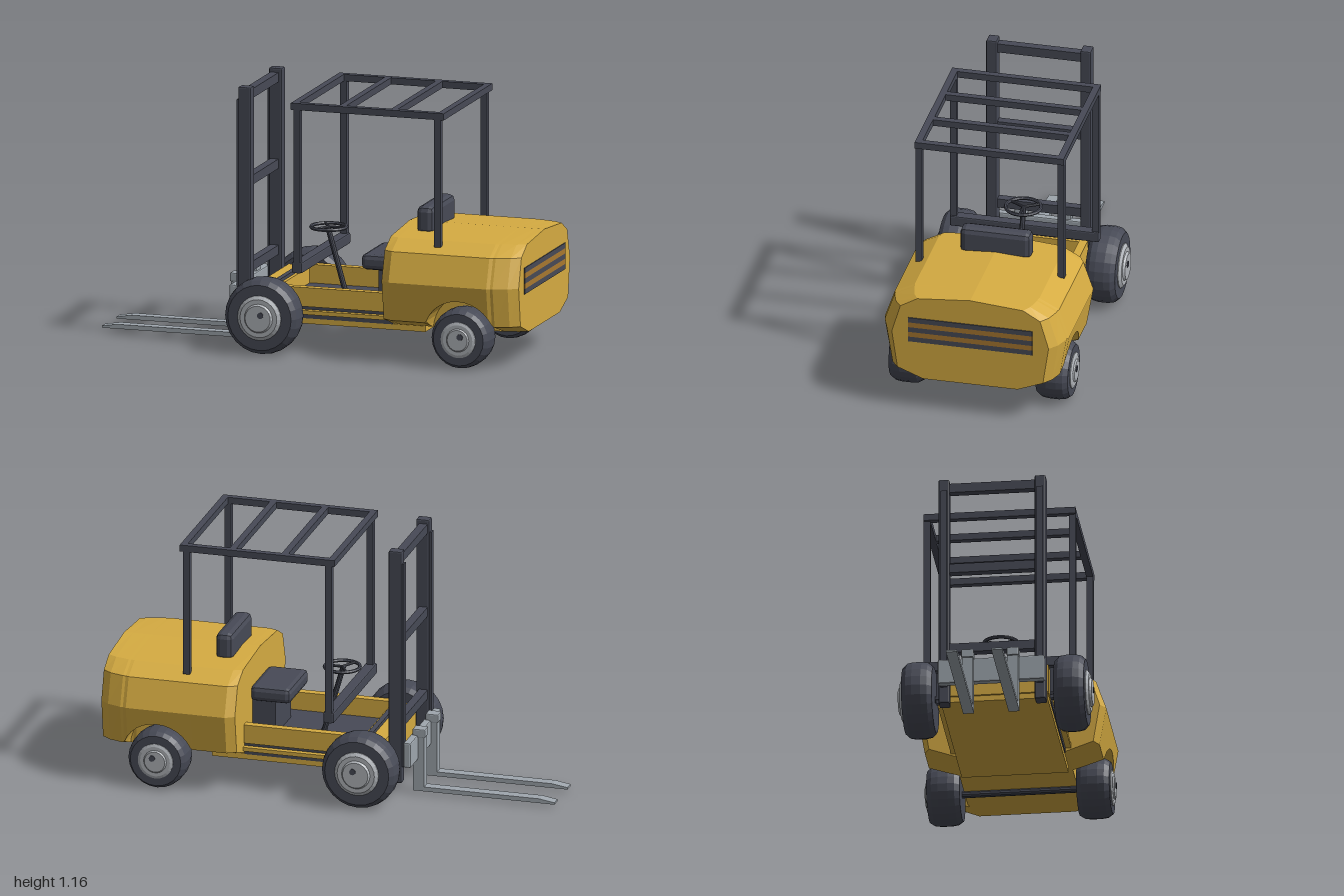
import * as THREE from 'three';
import { RoundedBoxGeometry } from 'three/addons/geometries/RoundedBoxGeometry.js';

const mat = (name, color) => Object.assign(new THREE.MeshStandardMaterial({ color }), { name });

export function createModel() {
  const yellow = mat('yellow paint', 0xd6ac42);
  const dark = mat('dark grey', 0x474a56);
  const steel = mat('fork steel', 0x9fa7ae);
  const hubGrey = mat('hub grey', 0xb0b4b9);
  const orange = mat('grille orange', 0xa87830);
  const root = new THREE.Group();
  root.name = 'forklift';

  // Faceted mesh: unshared vertices give every face its own normal
  const add = (name, geo, material, parent = root) => {
    const g = geo.index ? geo.toNonIndexed() : geo;
    g.computeVertexNormals();
    const m = new THREE.Mesh(g, material);
    m.name = name;
    parent.add(m);
    return m;
  };
  const box = (name, material, x0, x1, y0, y1, z0, z1, bevel = 0) => {
    const s = [x1 - x0, y1 - y0, z1 - z0];
    const g = bevel ? new RoundedBoxGeometry(...s, 1, bevel) : new THREE.BoxGeometry(...s);
    g.translate((x0 + x1) / 2, (y0 + y1) / 2, (z0 + z1) / 2);
    return add(name, g, material);
  };
  const rod = (name, a, b, r, material = dark) => {
    const d = new THREE.Vector3().subVectors(b, a);
    const m = add(name, new THREE.CylinderGeometry(r, r, d.length(), 10), material);
    m.position.addVectors(a, b).multiplyScalar(0.5);
    m.quaternion.setFromUnitVectors(new THREE.Vector3(0, 1, 0), d.normalize());
    return m;
  };
  const V = (x, y, z) => new THREE.Vector3(x, y, z);

  // Rear body: lofted cross-sections, with a wheel arch cut into the lower sides
  const floorY = 0.155;
  const section = (x, zs, a) => {
    const sideZ = a > 0.2 ? 0.415 - (0.375 - a) * 0.171 : 0.385;
    const lowZ = a > 0.2 ? sideZ : 0.25 + (a - floorY) * 3;
    const half = [[0, 0.57], [0.28, 0.55], [0.37, 0.505], [0.415, 0.375], [sideZ, Math.max(0.2, a)],
      [lowZ, a], [0.25, a], [0.25, floorY], [0, floorY]];
    const back = half.slice(1, -1).reverse().map(([z, y]) => [-z, y]);
    return [...half, ...back].map(([z, y]) => [x, y, z * zs]);
  };
  const stations = [section(0.38, 0.94, floorY), section(0.42, 1, floorY)];
  for (let i = 0; i <= 16; i++) {
    const t = Math.PI * (1 - i / 16);
    const x = 0.735 + 0.163 * Math.cos(t);
    stations.push(section(x, x > 0.88 ? 0.985 : 1, Math.max(floorY, 0.145 + 0.163 * Math.sin(t))));
  }
  stations.push(section(0.96, 0.93, floorY), section(1.0, 0.85, floorY));
  const pos = [];
  const n = stations[0].length;
  for (let k = 0; k < n; k++) {
    const j = (k + 1) % n;
    for (let i = 0; i < stations.length - 1; i++) {
      const p = stations[i], q = stations[i + 1];
      pos.push(...p[k], ...p[j], ...q[k], ...p[j], ...q[j], ...q[k]);
    }
    const s = stations[0], e = stations[stations.length - 1];
    pos.push(0.38, 0.37, 0, ...s[j], ...s[k], 1, 0.37, 0, ...e[k], ...e[j]);
  }
  const bodyGeo = new THREE.BufferGeometry();
  bodyGeo.setAttribute('position', new THREE.Float32BufferAttribute(pos, 3));
  add('rearBody', bodyGeo, yellow);

  // Rear grille stripes
  for (let i = 0; i < 5; i++) {
    const y = 0.335 + i * 0.0235;
    box('grilleStripe', i % 2 ? orange : dark, 0.999, 1.004, y, y + 0.0235, -0.28, 0.28);
  }

  // Chassis
  box('bottomPan', yellow, -0.25, 0.53, 0.125, 0.152, -0.235, 0.235);
  box('floor', dark, -0.155, 0.38, 0.15, 0.207, -0.24, 0.24);
  box('frontPanel', yellow, -0.26, -0.155, 0.15, 0.28, -0.24, 0.24);
  box('dashPlate', dark, -0.193, -0.17, 0.15, 0.295, -0.262, 0.262);
  for (const s of [-1, 1]) {
    const z = (a, b) => (s > 0 ? [a, b] : [-b, -a]);
    box('sideRail', yellow, -0.155, 0.39, 0.205, 0.29, ...z(0.215, 0.252));
    box('sideStep', yellow, -0.1, 0.39, 0.172, 0.19, ...z(0.235, 0.265));
  }

  // Seat
  box('seatBase', dark, 0.275, 0.385, 0.2, 0.365, -0.12, 0.12);
  box('seatCushion', dark, 0.2, 0.385, 0.362, 0.432, -0.147, 0.147, 0.022);
  box('backrest', dark, 0.46, 0.54, 0.54, 0.667, -0.16, 0.16, 0.025);

  // Steering
  rod('steeringColumn', V(0.09, 0.2, 0), V(0.0, 0.515, 0), 0.012);
  const ring = new THREE.TorusGeometry(0.078, 0.008, 6, 24);
  ring.rotateX(Math.PI / 2).translate(0.005, 0.513, 0);
  add('steeringWheel', ring, dark);
  for (let i = 0; i < 3; i++) {
    const a = (i / 3) * Math.PI * 2;
    rod('steeringSpoke', V(0.005, 0.513, 0), V(0.005 + 0.078 * Math.cos(a), 0.513, 0.078 * Math.sin(a)), 0.006);
  }

  // Overhead guard
  for (const s of [-1, 1]) {
    const z = [s * 0.32 - 0.015, s * 0.32 + 0.015];
    box('guardRail', dark, -0.058, 0.648, 1.1, 1.13, ...z);
    box('frontPost', dark, -0.045, -0.015, 0.37, 1.11, ...z);
    box('rearPost', dark, 0.603, 0.633, 0.53, 1.11, ...z);
  }
  for (const x of [-0.043, 0.175, 0.412, 0.633]) box('guardCrossbar', dark, x - 0.015, x + 0.015, 1.1, 1.13, -0.32, 0.32);
  box('postBrace', dark, -0.055, -0.006, 0.37, 0.418, -0.335, 0.335, 0.006);

  // Mast
  for (const s of [-1, 1]) {
    box('mastUpright', dark, -0.335, -0.275, 0.085, 1.163, s * 0.212 - 0.024, s * 0.212 + 0.024, 0.006);
    box('mastRail', dark, -0.344, -0.33, 0.16, 1.105, s * 0.212 - 0.014, s * 0.212 + 0.014);
  }
  for (const y of [0.33, 0.715, 1.102]) box('mastCrossbar', dark, -0.328, -0.29, y, y + 0.042, -0.2, 0.2);

  // Carriage and forks
  box('carriage', steel, -0.376, -0.343, 0.16, 0.275, -0.235, 0.235, 0.006);
  const fork = new THREE.Shape();
  [[-1, 0.017], [-0.355, 0.017], [-0.355, 0.302], [-0.405, 0.302], [-0.405, 0.037], [-0.93, 0.037], [-1, 0.026]]
    .forEach(([x, y], i) => (i ? fork.lineTo(x, y) : fork.moveTo(x, y)));
  for (const s of [-1, 1]) {
    const g = new THREE.ExtrudeGeometry(fork, { depth: 0.048, bevelEnabled: false });
    g.translate(0, 0, s * 0.1 - 0.024);
    add('fork', g, steel);
    box('forkHook', steel, -0.41, -0.352, 0.265, 0.304, s * 0.1 - 0.027, s * 0.1 + 0.027, 0.005);
  }

  // Wheels: lathed tyre and stepped hub, turned to face outwards
  const lathe = (pts) => new THREE.LatheGeometry(pts.map(([r, h]) => new THREE.Vector2(r, h)), 24).rotateX(Math.PI / 2);
  const wheel = (name, x, r, z, w, hubR, hubOut, s) => {
    const g = new THREE.Group();
    g.name = name;
    add('tyre', lathe([[0.001, -w], [r * 0.86, -w], [r * 0.97, -w * 0.7], [r, -w * 0.3], [r, w * 0.3],
      [r * 0.97, w * 0.7], [r * 0.86, w], [hubR, w], [hubR * 0.95, w * 0.8]]), dark, g);
    add('hub', lathe([[hubR, w * 0.7], [hubR, w + 0.004], [hubR * 0.85, w + hubOut * 0.6], [hubR * 0.65, w + hubOut * 0.6],
      [hubR * 0.58, w + hubOut], [0, w + hubOut]]), hubGrey, g);
    const cap = new THREE.CylinderGeometry(0.014, 0.014, 0.008, 12).rotateX(Math.PI / 2);
    cap.translate(s * 0.012, 0.016, w + hubOut);
    add('valve', cap, dark, g);
    g.position.set(x, r + 0.003, s * z);
    if (s < 0) g.rotation.y = Math.PI;
    root.add(g);
  };
  for (const s of [-1, 1]) {
    wheel('frontWheel', -0.18, 0.17, 0.335, 0.067, 0.1, 0.025, s);
    wheel('rearWheel', 0.738, 0.134, 0.33, 0.073, 0.08, 0.015, s);
  }
  rod('frontAxle', V(-0.18, 0.173, -0.3), V(-0.18, 0.173, 0.3), 0.015);
  rod('rearAxle', V(0.738, 0.139, -0.28), V(0.738, 0.139, 0.28), 0.015);
  return root;
}
